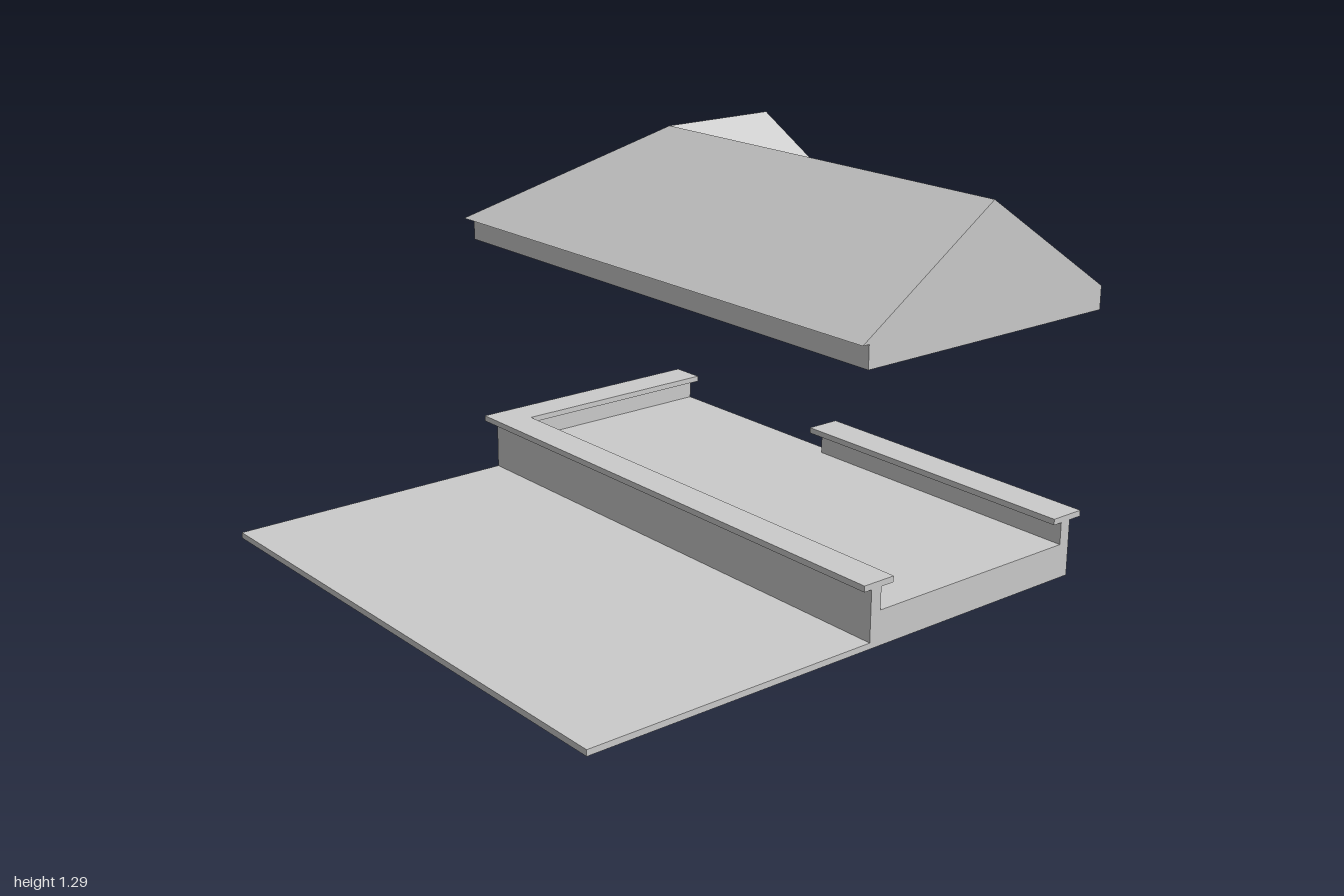
import * as THREE from 'three';

const material = new THREE.MeshStandardMaterial({ color: 0xcccccc, flatShading: true });

// Upright prism: footprint of [x, z] corners between heights y0 and y1
function prism(name, corners, y0, y1) {
  const shape = new THREE.Shape(corners.map(([x, z]) => new THREE.Vector2(x, -z)));
  const geometry = new THREE.ExtrudeGeometry(shape, { depth: y1 - y0, bevelEnabled: false });
  geometry.rotateX(-Math.PI / 2).translate(0, y0, 0);
  const mesh = new THREE.Mesh(geometry, material);
  mesh.name = name;
  return mesh;
}

const rect = (x0, x1, z0, z1) => [[x0, z1], [x1, z1], [x1, z0], [x0, z0]];

// Flat polygons, each fanned from its first corner
function faceted(name, points, faces) {
  const positions = [];
  for (const face of faces) {
    for (let i = 1; i < face.length - 1; i++) {
      for (const key of [face[0], face[i], face[i + 1]]) positions.push(...points[key]);
    }
  }
  const geometry = new THREE.BufferGeometry();
  geometry.setAttribute('position', new THREE.Float32BufferAttribute(positions, 3));
  geometry.computeVertexNormals();
  const mesh = new THREE.Mesh(geometry, material);
  mesh.name = name;
  return mesh;
}

function createBase() {
  const base = new THREE.Group();
  base.name = 'base';
  const floor = 0.115, wallTop = 0.19, capTop = 0.21;
  base.add(
    prism('forecourt', rect(-0.925, 1, -0.04, 1), 0, 0.02),
    prism('floorBlock', rect(-0.925, 1, -0.92, -0.04), 0, floor),
    // L-shaped parapet along the front and the hip side
    prism('frontParapet', [[-0.925, -0.04], [1, -0.04], [1, -0.08],
      [-0.885, -0.08], [-0.885, -0.92], [-0.925, -0.92]], floor, wallTop),
    prism('frontCoping', [[-0.96, -0.01], [1, -0.01], [1, -0.13],
      [-0.84, -0.13], [-0.84, -0.92], [-0.96, -0.92]], wallTop, capTop),
    // Shorter parapet along the back, leaving an opening
    prism('backParapet', rect(-0.1, 1, -0.92, -0.88), floor, wallTop),
    prism('backCoping', rect(-0.125, 1, -0.97, -0.845), wallTop, capTop)
  );
  return base;
}

function createRoof() {
  const roof = new THREE.Group();
  roof.name = 'roof';
  const eave = 0.945, ridge = 1.29;
  const points = {
    A: [-1, eave, 0.03], B: [1, eave, 0.03], C: [1, eave, -1],
    D: [0.02, eave, -1], E: [0, eave, -0.93], F: [-1, eave, -0.93],
    R: [-0.485, ridge, -0.485], S: [1, ridge, -0.485], T: [-0.485, ridge, -0.93]
  };
  // Front, back, hip side, valley side, wing gable, gable return, end gable, soffit
  const faces = ['ABSR', 'CDRS', 'FART', 'DTR', 'FTE', 'TDE', 'BCS', 'EDCBAF'];
  roof.add(
    faceted('roofSlopes', points, faces),
    prism('fascia', [[-0.975, 0.005], [1, 0.005], [1, -0.997], [0, -0.997],
      [0, -0.925], [-0.975, -0.925]], 0.87, eave)
  );
  return roof;
}

export function createModel() {
  const model = new THREE.Group();
  model.name = 'houseSection';
  model.add(createBase(), createRoof());
  return model;
}
